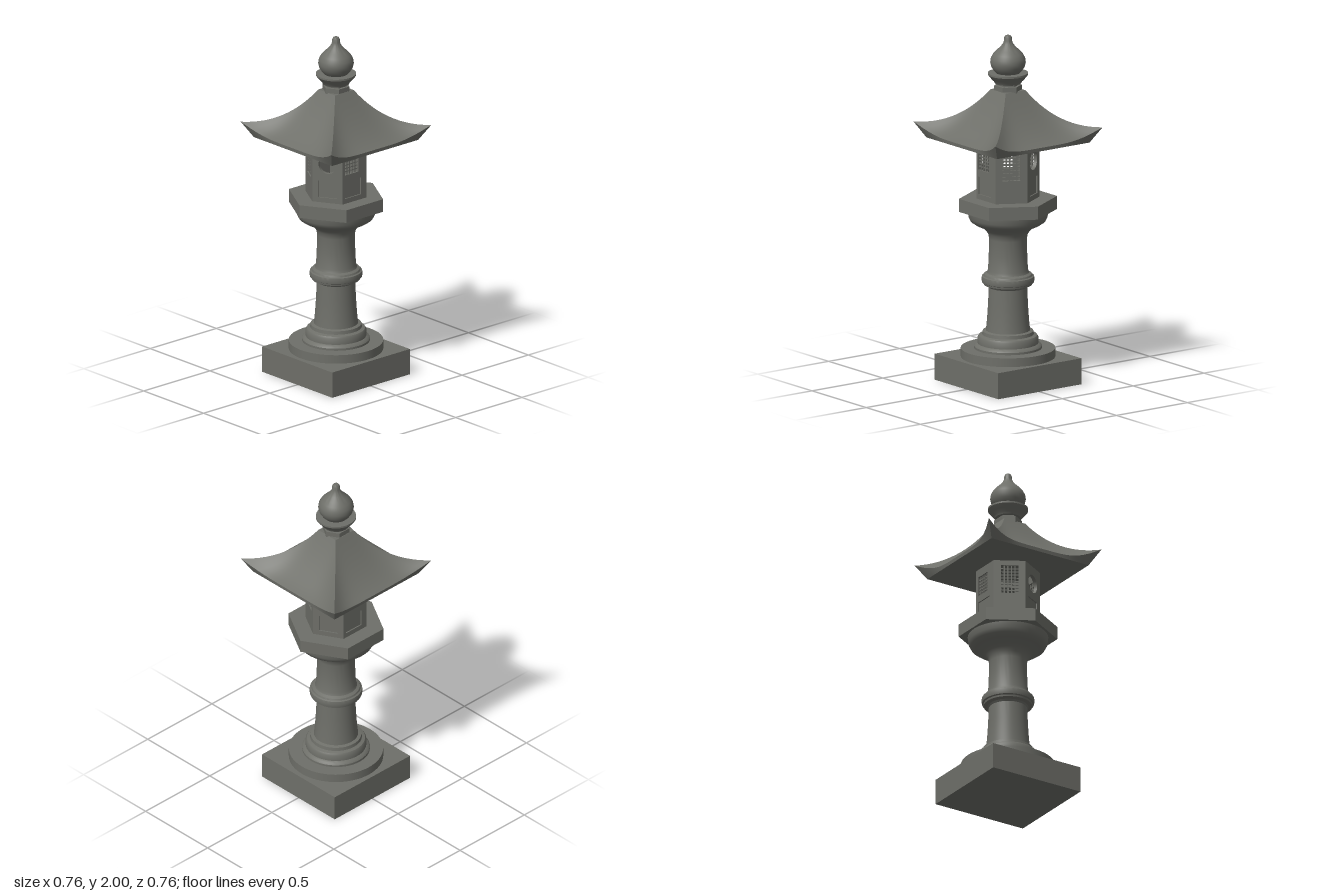
import * as THREE from 'three';
import { toCreasedNormals } from 'three/addons/utils/BufferGeometryUtils.js';

const stone = new THREE.MeshStandardMaterial({ color: 0x6e6f69 });
stone.name = 'grey stone';

function add(parent, name, geometry, y = 0) {
  const mesh = new THREE.Mesh(geometry, stone);
  mesh.name = name;
  mesh.position.y = y;
  parent.add(mesh);
  return mesh;
}

// Turned part from [radius, height] pairs, bottom to top
function turned(profile, sides = 48) {
  const points = profile.map(([r, y]) => new THREE.Vector2(r, y));
  return toCreasedNormals(new THREE.LatheGeometry(points, sides), 0.6);
}

// Hexagonal prism with corners on the x axis
function hexPrism(rTop, rBottom, height) {
  const g = new THREE.CylinderGeometry(rTop, rBottom, height, 6, 1, false, Math.PI / 2);
  return toCreasedNormals(g, 0.5);
}

function rectPath(x, y, w, h) {
  return new THREE.Path().moveTo(x - w / 2, y - h / 2).lineTo(x - w / 2, y + h / 2)
    .lineTo(x + w / 2, y + h / 2).lineTo(x + w / 2, y - h / 2).closePath();
}

const ROOM_R = 0.179, ROOM_BOTTOM = 1.06, ROOM_TOP = 1.4, WALL = 0.02;

// One wall of the lamp room: pierced slab, recessed panel and lattice bars
function lampWall(spec) {
  const group = new THREE.Group();
  const half = ROOM_R / 2;
  const shape = new THREE.Shape().moveTo(-half, ROOM_BOTTOM).lineTo(half, ROOM_BOTTOM)
    .lineTo(half, ROOM_TOP).lineTo(-half, ROOM_TOP).closePath();
  const { x = 0, y, w, h, radius, panel } = spec;
  if (radius) shape.holes.push(new THREE.Path().absarc(x, y, radius, 0, Math.PI * 2, true));
  else shape.holes.push(rectPath(x, y, w, h));
  if (panel) shape.holes.push(rectPath(panel.x, panel.y, panel.w, panel.h));

  const slab = new THREE.ExtrudeGeometry(shape, { depth: WALL, bevelEnabled: false, curveSegments: 32 });
  slab.translate(0, 0, -WALL);
  add(group, 'wallSlab', slab);

  if (panel) {
    const g = new THREE.BoxGeometry(panel.w, panel.h, WALL - 0.007);
    g.translate(panel.x, panel.y, -(WALL + 0.007) / 2);
    add(group, 'recessedPanel', g);
  }
  if (!radius) {
    const cols = Math.round(w / 0.02), rows = Math.round(h / 0.02);
    for (let i = 1; i < cols; i++) {
      const g = new THREE.BoxGeometry(0.006, h, 0.008);
      add(group, 'latticeUpright', g.translate(x - w / 2 + (w * i) / cols, y, -0.01));
    }
    for (let i = 1; i < rows; i++) {
      const g = new THREE.BoxGeometry(w, 0.006, 0.007);
      add(group, 'latticeCrossbar', g.translate(x, y - h / 2 + (h * i) / rows, -0.01));
    }
  }
  return group;
}

// Four-sided sweeping roof with upturned corners, built from square rings
function roofGeometry() {
  const N = 20, R = 14, rings = [];
  rings.push(() => [0, 1.685]);
  for (let i = 0; i <= R; i++) {
    const s = i / R;
    rings.push((t) => {
      const lift = s * s * Math.pow(Math.abs(t), 5);
      return [0.07 + 0.258 * s + 0.05 * lift, 1.685 - 0.42 * s + 0.15 * s * s + 0.07 * lift];
    });
  }
  rings.push(() => [0.326, 1.395], () => [0, 1.395]);

  const positions = [], index = [];
  for (let k = 0; k < 4; k++) {
    const c = Math.round(Math.cos(k * Math.PI / 2)), sn = Math.round(Math.sin(k * Math.PI / 2));
    const base = positions.length / 3;
    rings.forEach((ring) => {
      for (let j = 0; j <= N; j++) {
        const t = -1 + (2 * j) / N;
        const [h, y] = ring(t);
        const x = t * h;
        positions.push(x * c + h * sn, y, -x * sn + h * c);
      }
    });
    for (let i = 0; i < rings.length - 1; i++) {
      for (let j = 0; j < N; j++) {
        const a = base + i * (N + 1) + j, d = a + N + 1;
        if (i < rings.length - 2) index.push(a, d, d + 1);
        if (i > 0) index.push(a, d + 1, a + 1);
        else index.push(a, d, d + 1);
      }
    }
  }
  const g = new THREE.BufferGeometry();
  g.setAttribute('position', new THREE.Float32BufferAttribute(positions, 3));
  g.setIndex(index);
  return toCreasedNormals(g, 0.6);
}

export function createModel() {
  const lantern = new THREE.Group();
  lantern.name = 'stoneLantern';

  // Base
  add(lantern, 'plinth', new THREE.BoxGeometry(0.586, 0.15, 0.586), 0.075);
  add(lantern, 'baseDisc', new THREE.CylinderGeometry(0.265, 0.265, 0.05, 64), 0.175);

  // Pillar with moulded foot, middle ring and flared head
  add(lantern, 'pillar', turned([
    [0, 0.2], [0.19, 0.2], [0.19, 0.212], [0.183, 0.222], [0.17, 0.228], [0.17, 0.262], [0.163, 0.273],
    [0.145, 0.279], [0.142, 0.298], [0.124, 0.303], [0.118, 0.36], [0.112, 0.45], [0.108, 0.55],
    [0.115, 0.56], [0.136, 0.566], [0.138, 0.576], [0.146, 0.58], [0.149, 0.596], [0.146, 0.613],
    [0.138, 0.617], [0.134, 0.626], [0.118, 0.634], [0.112, 0.65], [0.108, 0.74], [0.106, 0.83],
    [0.112, 0.86], [0.128, 0.88], [0.145, 0.896], [0.185, 0.915], [0.21, 0.932], [0.222, 0.955],
    [0.226, 0.99], [0, 0.99],
  ], 64));

  // Hexagonal platform
  add(lantern, 'platform', hexPrism(0.277, 0.277, 0.075), 1.0265);

  // Hollow lamp room: six walls, opposite walls alike
  const room = new THREE.Group();
  room.name = 'lampRoom';
  const front = { x: -0.022, y: 1.29, w: 0.1, h: 0.115, panel: { x: -0.012, y: 1.143, w: 0.118, h: 0.1 } };
  const tall = { y: 1.28, w: 0.1, h: 0.17 };
  const round = { y: 1.29, radius: 0.053, panel: { x: 0, y: 1.143, w: 0.11, h: 0.1 } };
  [front, tall, round, front, tall, round].forEach((spec, i) => {
    const wall = lampWall(spec);
    const angle = (i * Math.PI) / 3, apothem = ROOM_R * Math.cos(Math.PI / 6);
    wall.name = 'lampWall' + (i + 1);
    wall.rotation.y = angle;
    wall.position.set(Math.sin(angle) * apothem, 0, Math.cos(angle) * apothem);
    room.add(wall);
  });
  lantern.add(room);

  // Roof
  add(lantern, 'roof', roofGeometry());

  // Neck, bowl and bulb on top
  add(lantern, 'neckBlock', hexPrism(0.078, 0.078, 0.035), 1.695);
  add(lantern, 'neckStep', hexPrism(0.062, 0.062, 0.02), 1.72);
  add(lantern, 'bowl', turned([
    [0, 1.724], [0.074, 1.724], [0.08, 1.736], [0.096, 1.752], [0.113, 1.774], [0.113, 1.784], [0, 1.784],
  ]));
  add(lantern, 'bulb', turned([
    [0.066, 1.782], [0.08, 1.797], [0.094, 1.82], [0.1, 1.845], [0.096, 1.87], [0.083, 1.893],
    [0.063, 1.914], [0.042, 1.934], [0.028, 1.953], [0.022, 1.97], [0.021, 1.988], [0.015, 1.998], [0, 2],
  ]));

  return lantern;
}
